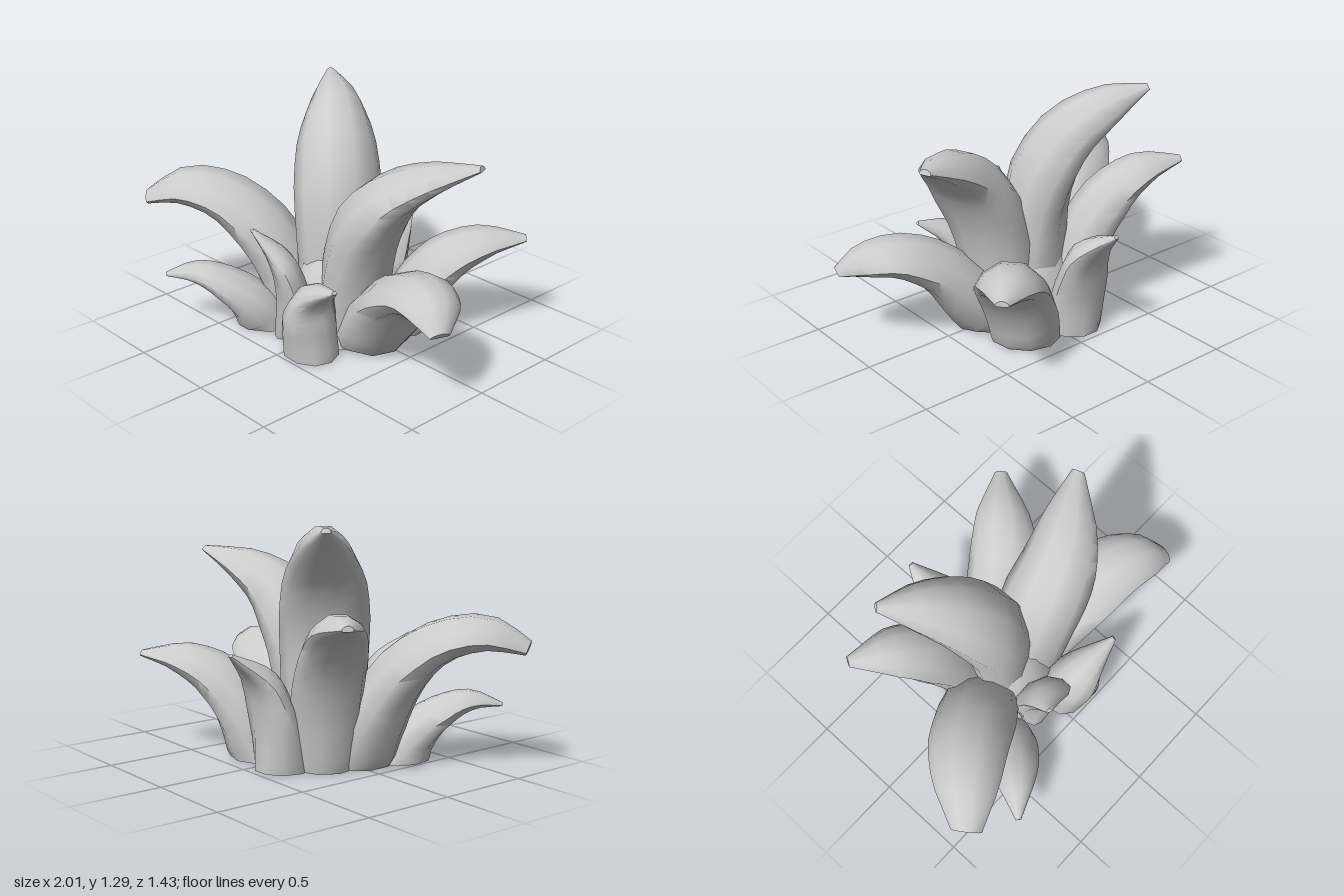
import * as THREE from 'three';
import { toCreasedNormals } from 'three/addons/utils/BufferGeometryUtils.js';

const SIDES = 10, RINGS = 12;

// Spine stations from root to tip: [x, y, z, width, thickness]
const LEAVES = {
  tallLeaf: [[-0.06, 0, -0.02, 0.4, 0.28], [-0.07, 0.4, -0.02, 0.46, 0.3], [-0.1, 0.76, -0.04, 0.48, 0.31],
    [-0.21, 1.02, -0.13, 0.43, 0.27], [-0.37, 1.18, -0.265, 0.28, 0.19], [-0.54, 1.275, -0.385, 0.05, 0.03]],
  upperRightLeaf: [[0.09, 0, 0.03, 0.4, 0.28], [0.13, 0.4, 0.04, 0.45, 0.31], [0.22, 0.68, 0.04, 0.46, 0.31],
    [0.37, 0.87, 0.01, 0.41, 0.25], [0.54, 0.985, -0.07, 0.31, 0.17], [0.76, 1.075, -0.21, 0.07, 0.03]],
  frontLeftLeaf: [[-0.26, 0, 0.08, 0.4, 0.28], [-0.35, 0.25, 0.1, 0.43, 0.28], [-0.46, 0.5, 0.18, 0.44, 0.26],
    [-0.63, 0.67, 0.29, 0.42, 0.21], [-0.81, 0.725, 0.44, 0.34, 0.17], [-0.965, 0.655, 0.59, 0.16, 0.07]],
  backLeftLeaf: [[-0.21, 0, -0.13, 0.36, 0.26], [-0.28, 0.38, -0.17, 0.38, 0.25], [-0.4, 0.64, -0.23, 0.36, 0.22],
    [-0.56, 0.79, -0.32, 0.28, 0.15], [-0.76, 0.835, -0.43, 0.06, 0.03]],
  backRightLeaf: [[0.19, 0, -0.26, 0.38, 0.25], [0.25, 0.21, -0.3, 0.4, 0.25], [0.37, 0.41, -0.38, 0.39, 0.22],
    [0.51, 0.515, -0.52, 0.3, 0.15], [0.68, 0.54, -0.69, 0.07, 0.03]],
  rightLeaf: [[0.19, 0, 0.02, 0.39, 0.28], [0.34, 0.2, 0.05, 0.43, 0.27], [0.51, 0.39, 0.1, 0.42, 0.22],
    [0.71, 0.495, 0.15, 0.38, 0.17], [0.87, 0.485, 0.22, 0.29, 0.13], [0.98, 0.42, 0.3, 0.11, 0.03]],
  frontRightShoot: [[0.1, 0, 0.34, 0.3, 0.25], [0.11, 0.2, 0.37, 0.3, 0.24], [0.18, 0.36, 0.4, 0.23, 0.15],
    [0.38, 0.475, 0.43, 0.03, 0.02]],
  frontShoot: [[-0.12, 0, 0.28, 0.16, 0.16], [-0.08, 0.25, 0.31, 0.31, 0.15], [-0.1, 0.46, 0.37, 0.26, 0.13],
    [-0.21, 0.645, 0.475, 0.03, 0.02]],
  frontLeftShoot: [[-0.35, 0, 0.28, 0.3, 0.25], [-0.38, 0.13, 0.35, 0.31, 0.21], [-0.47, 0.26, 0.47, 0.27, 0.15],
    [-0.57, 0.32, 0.58, 0.18, 0.1], [-0.69, 0.3, 0.7, 0.03, 0.02]],
  backShoot: [[-0.1, 0, -0.33, 0.31, 0.22], [-0.1, 0.25, -0.36, 0.33, 0.19], [-0.09, 0.47, -0.44, 0.27, 0.14],
    [-0.1, 0.635, -0.64, 0.03, 0.02]],
};

// Sweeps a drooping lens section along the spine and caps both ends
function leafGeometry(stations) {
  const spine = new THREE.CatmullRomCurve3(stations.map(s => new THREE.Vector3(s[0], s[1], s[2])));
  const size = new THREE.CatmullRomCurve3(stations.map(s => new THREE.Vector3(s[3], s[4], 0)));
  const lean = spine.points.at(-1).clone().sub(spine.points[0]).setY(0).normalize();
  const across = new THREE.Vector3(0, 1, 0).cross(lean);
  const positions = [], index = [];
  for (let i = 0; i <= RINGS; i++) {
    const t = i / RINGS, centre = spine.getPoint(t), s = size.getPoint(t);
    const normal = spine.getTangent(t).cross(across).normalize();
    // The underside is fleshy near the root and hollows out toward the tip
    const belly = 0.75 - 0.25 * t;
    for (let k = 0; k < SIDES; k++) {
      const a = k / SIDES * Math.PI * 2, u = Math.cos(a), rise = Math.sin(a);
      const v = rise * (rise > 0 ? 0.5 : belly) + 0.1 - 0.25 * u * u * Math.min(1, t * 2);
      const p = centre.clone().addScaledVector(across, u * s.x / 2).addScaledVector(normal, v * s.y);
      positions.push(p.x, i ? Math.max(0, p.y) : 0, p.z);
    }
  }
  for (let i = 0; i < RINGS; i++) {
    for (let k = 0; k < SIDES; k++) {
      const n = (k + 1) % SIDES, a = i * SIDES + k, b = i * SIDES + n;
      index.push(a, b, b + SIDES, a, b + SIDES, a + SIDES);
    }
  }
  const last = RINGS * SIDES;
  for (let k = 1; k < SIDES - 1; k++) {
    index.push(0, k + 1, k, last, last + k, last + k + 1);
  }
  const geometry = new THREE.BufferGeometry();
  geometry.setAttribute('position', new THREE.Float32BufferAttribute(positions, 3));
  geometry.setIndex(index);
  return toCreasedNormals(geometry, 0.95);
}

export function createModel() {
  const plant = new THREE.Group();
  plant.name = 'plant';
  const grey = new THREE.MeshStandardMaterial({ color: 0xcccccc });
  grey.name = 'grey';

  const add = (name, geometry) => {
    const mesh = new THREE.Mesh(geometry, grey);
    mesh.name = name;
    plant.add(mesh);
    return mesh;
  };

  for (const [name, stations] of Object.entries(LEAVES)) add(name, leafGeometry(stations));

  // Solid heart that joins the leaf roots
  const profile = [[0, 0], [0.32, 0], [0.3, 0.16], [0.2, 0.4], [0, 0.58]].map(p => new THREE.Vector2(...p));
  add('heart', toCreasedNormals(new THREE.LatheGeometry(profile, 12), 0.9)).position.x = -0.04;

  return plant;
}
